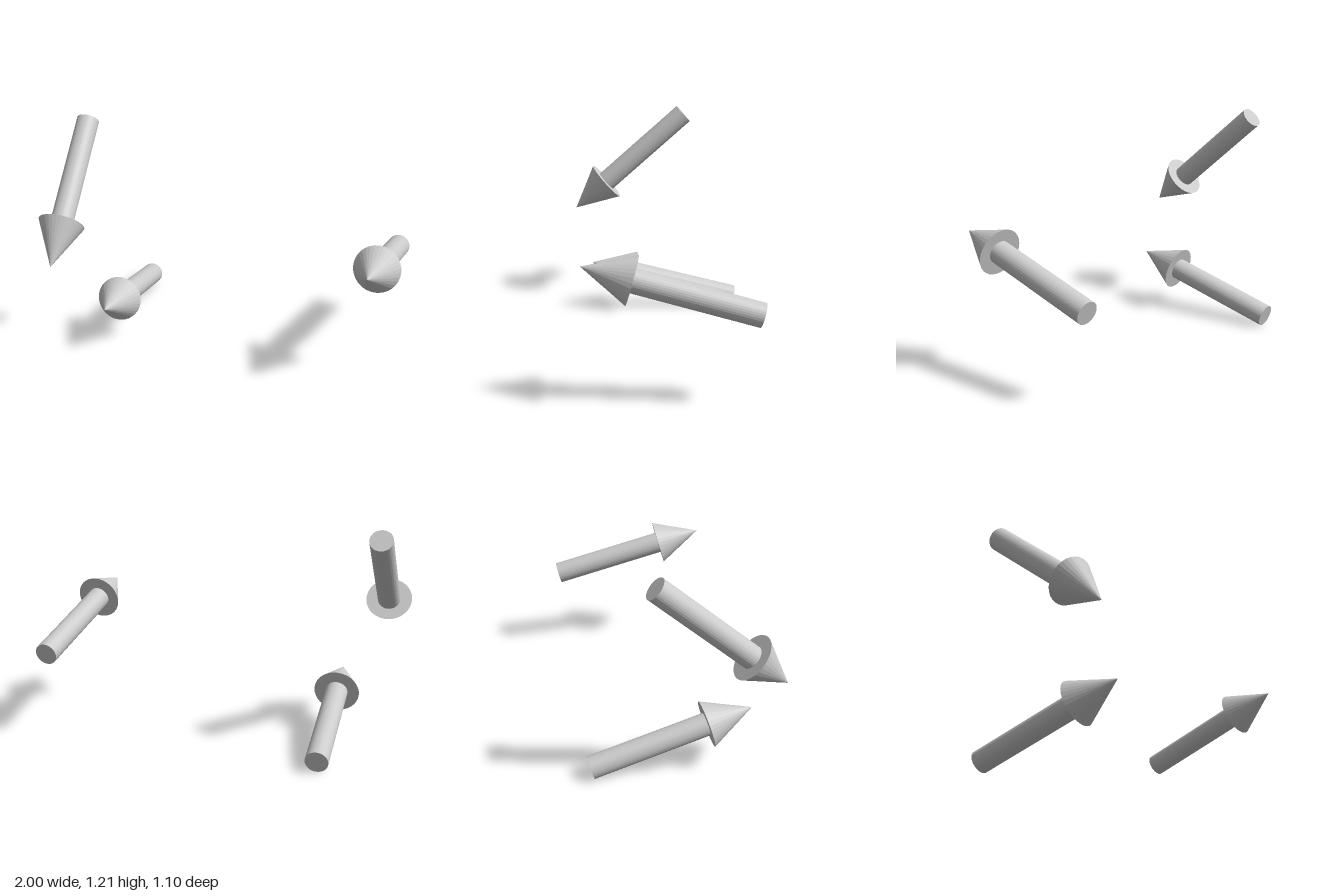
import * as THREE from 'three';

const SIDES = 32;
const SHAFT_RADIUS = 0.0615;
const HEAD_RADIUS = 0.125;
const HEAD_LENGTH = 0.253;

const material = new THREE.MeshStandardMaterial({ color: 0xcccccc, flatShading: true });

// One arrow: a round shaft from the tail and a cone ending at the tip
function makeArrow(name, tailPoint, tipPoint) {
  const tail = new THREE.Vector3(...tailPoint);
  const direction = new THREE.Vector3(...tipPoint).sub(tail);
  const length = direction.length();
  const shaftLength = length - HEAD_LENGTH;

  const arrow = new THREE.Group();
  arrow.name = name;

  const shaft = new THREE.Mesh(
    new THREE.CylinderGeometry(SHAFT_RADIUS, SHAFT_RADIUS, shaftLength, SIDES), material);
  shaft.name = 'shaft';
  shaft.position.y = shaftLength / 2;

  const head = new THREE.Mesh(
    new THREE.ConeGeometry(HEAD_RADIUS, HEAD_LENGTH, SIDES), material);
  head.name = 'head';
  head.position.y = shaftLength + HEAD_LENGTH / 2;

  arrow.add(shaft, head);
  arrow.position.copy(tail);
  arrow.quaternion.setFromUnitVectors(new THREE.Vector3(0, 1, 0), direction.normalize());
  return arrow;
}

export function createModel() {
  const model = new THREE.Group();
  model.name = 'arrows';
  model.add(
    makeArrow('upperRightArrow', [-0.829, 1.162, -0.279], [-0.896, 0.581, 0.386]),
    makeArrow('lowerRightArrow', [-0.551, 0.061, -0.533], [-0.633, 0.301, 0.323]),
    makeArrow('leftArrow', [0.938, 0.487, -0.3], [0.763, 0.726, 0.547]),
  );
  return model;
}
